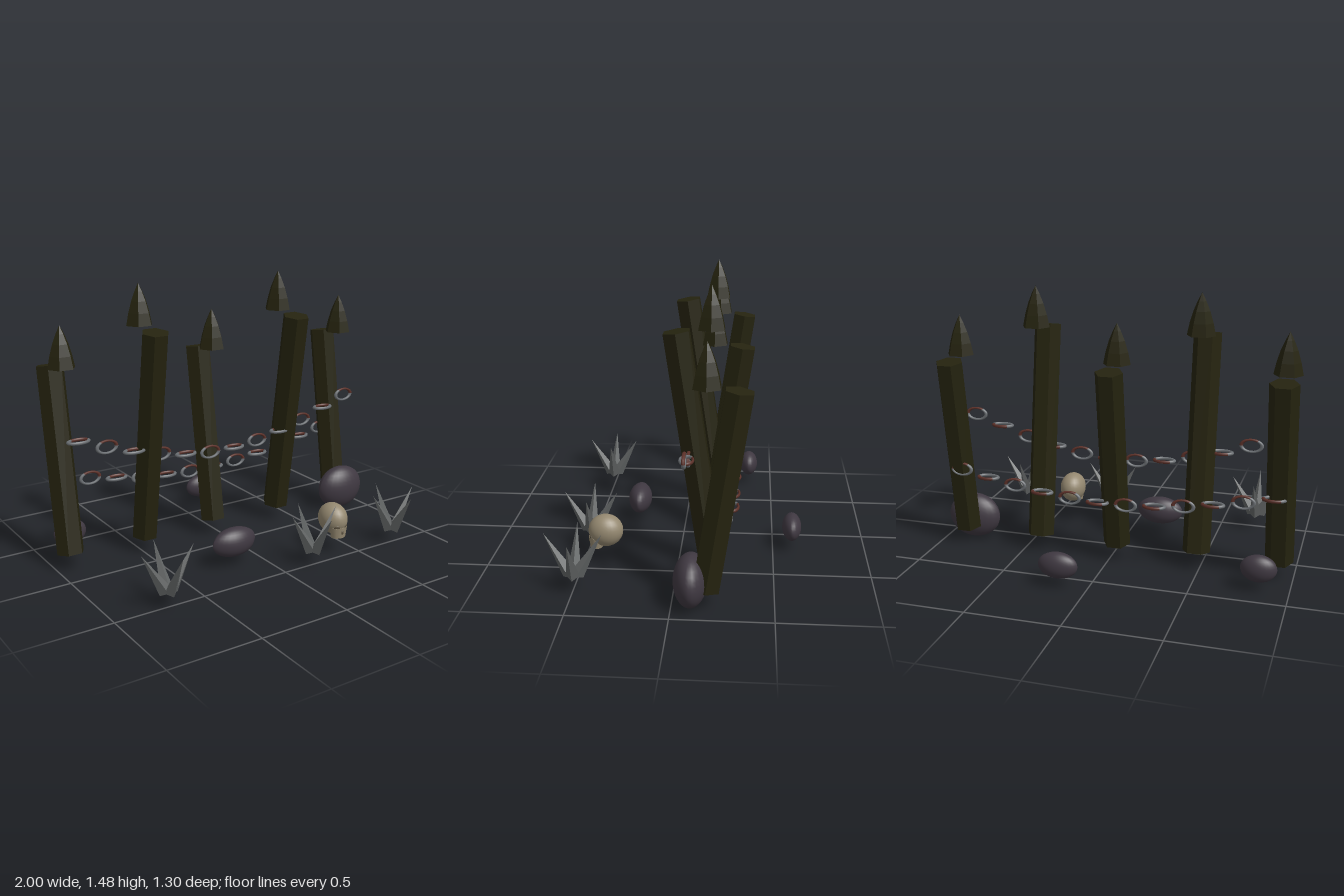
import * as THREE from 'three';

const paint = (name, color) => {
  const m = new THREE.MeshStandardMaterial({ color });
  m.name = name;
  return m;
};

// Faceted copy of a geometry
function faceted(geometry) {
  const g = geometry.index ? geometry.toNonIndexed() : geometry;
  g.computeVertexNormals();
  return g;
}

function add(parent, name, geometry, material, x = 0, y = 0, z = 0) {
  const mesh = new THREE.Mesh(geometry, material);
  mesh.name = name;
  mesh.position.set(x, y, z);
  parent.add(mesh);
  return mesh;
}

export function createModel() {
  const model = new THREE.Group();
  model.name = 'spikedFence';

  const wood = paint('darkWood', 0x25230f);
  const stone = paint('darkStone', 0x3f3841);
  const steel = paint('steel', 0x6a6e72);
  const rust = paint('rust', 0x5c3129);
  const spikeGrey = paint('spikeGrey', 0x636666);
  const bone = paint('bone', 0x948870);
  const socket = paint('socket', 0x5c5240);

  // Leaning hexagonal stakes, alternating backward and forward, with upright tips
  const tipProfile = [[0, 0], [0.075, 0], [0.061, 0.065], [0.043, 0.125], [0.022, 0.175], [0, 0.218]]
    .map(([r, y]) => new THREE.Vector2(r, y));
  const tipGeometry = faceted(new THREE.LatheGeometry(tipProfile, 6, Math.PI / 6));
  for (let i = 0; i < 5; i++) {
    const forward = i % 2 === 1;
    const length = forward ? 1.175 : 1.0;
    const x = -0.922 + i * 0.4435;
    const shaft = new THREE.CylinderGeometry(0.075, 0.075, length, 6, 1, false, Math.PI / 6);
    shaft.translate(0, length / 2, 0);
    add(model, 'stake', faceted(shaft), wood, x, 0.092, -0.167).rotation.x = forward ? 0.15 : -0.15;
    add(model, 'stakeTip', tipGeometry, wood, x, 0.092 + length, -0.167);
  }

  // Sagging chains of oval links, alternately lying flat and standing
  const rustArc = Math.PI * 0.7;
  const rustGeometry = new THREE.TorusGeometry(0.055, 0.01, 8, 8, rustArc);
  const steelGeometry = new THREE.TorusGeometry(0.055, 0.01, 8, 16, Math.PI * 2 - rustArc);
  steelGeometry.rotateZ(rustArc);
  for (const g of [rustGeometry, steelGeometry]) g.scale(1, 0.6, 0.9);

  function addChain(name, top, sag, z) {
    const chain = new THREE.Group();
    chain.name = name;
    for (let i = 0; i < 12; i++) {
      const link = new THREE.Group();
      link.name = 'chainLink';
      add(link, 'linkSteel', steelGeometry, steel);
      add(link, 'linkRust', rustGeometry, rust);
      link.position.set(-0.895 + i * 0.156, top - sag * Math.sin(Math.PI * i / 11), z);
      if (i % 2 === 0) link.rotation.x = -Math.PI / 2;
      chain.add(link);
    }
    model.add(chain);
  }
  addChain('frontChain', 0.73, 0.196, -0.06);
  addChain('backChain', 0.472, 0.115, -0.283);

  // Boulders: ellipsoids pinched towards their left and right ends
  function boulderGeometry(hx, hy, hz, pinch) {
    const g = new THREE.SphereGeometry(1, 24, 16);
    const p = g.attributes.position;
    for (let i = 0; i < p.count; i++) {
      const narrow = Math.pow(Math.max(0, 1 - p.getX(i) ** 2), pinch);
      p.setZ(i, p.getZ(i) * narrow);
    }
    g.scale(hx, hy, hz);
    g.computeVertexNormals();
    return g;
  }
  const boulders = [
    [-0.172, 0.133, 0.267, 0.133, 0.08, 0.067, 0.25],
    [0.155, 0.12, -0.602, 0.107, 0.071, 0.052, 0.12],
    [-0.84, 0.121, -0.359, 0.095, 0.073, 0.054, 0.12],
    [0.845, 0.131, -0.092, 0.154, 0.13, 0.085, 0.08],
  ];
  for (const [x, y, z, hx, hy, hz, pinch] of boulders) {
    add(model, 'boulder', boulderGeometry(hx, hy, hz, pinch), stone, x, y, z);
  }

  // Clumps of four outward leaning spikes
  const spikeGeometry = new THREE.ConeGeometry(0.035, 0.249, 4);
  spikeGeometry.translate(0, 0.1245, 0);
  spikeGeometry.rotateX(0.526);
  spikeGeometry.translate(0, 0, 0.02);
  const spikeFacets = faceted(spikeGeometry);
  for (const x of [-0.703, 0.185, 0.74]) {
    const clump = new THREE.Group();
    clump.name = 'spikeClump';
    clump.position.set(x, 0.088, 0.497);
    for (let i = 0; i < 4; i++) {
      add(clump, 'spike', spikeFacets, spikeGrey).rotation.y = i * Math.PI / 2;
    }
    model.add(clump);
  }

  // Skull with a tapered jaw, eye sockets and nose hole
  const skull = new THREE.Group();
  skull.name = 'skull';
  skull.position.set(0.405, 0.18, 0.383);
  const cranium = new THREE.SphereGeometry(1, 24, 16);
  cranium.scale(0.075, 0.087, 0.092);
  add(skull, 'cranium', cranium, bone);
  const jaw = new THREE.CylinderGeometry(0.054, 0.044, 0.06, 16);
  jaw.scale(1, 1, 0.75);
  add(skull, 'jaw', jaw, bone, 0, -0.063, 0.05);
  const socketGeometry = new THREE.SphereGeometry(1, 14, 10);
  for (const side of [-1, 1]) {
    const eye = add(skull, 'eyeSocket', socketGeometry, socket, side * 0.028, -0.034, 0.074);
    eye.scale.set(0.018, 0.018, 0.007);
    eye.rotation.set(0.4, side * 0.4, 0);
  }
  add(skull, 'noseHole', socketGeometry, socket, 0, -0.058, 0.087).scale.set(0.008, 0.012, 0.005);
  model.add(skull);

  return model;
}
